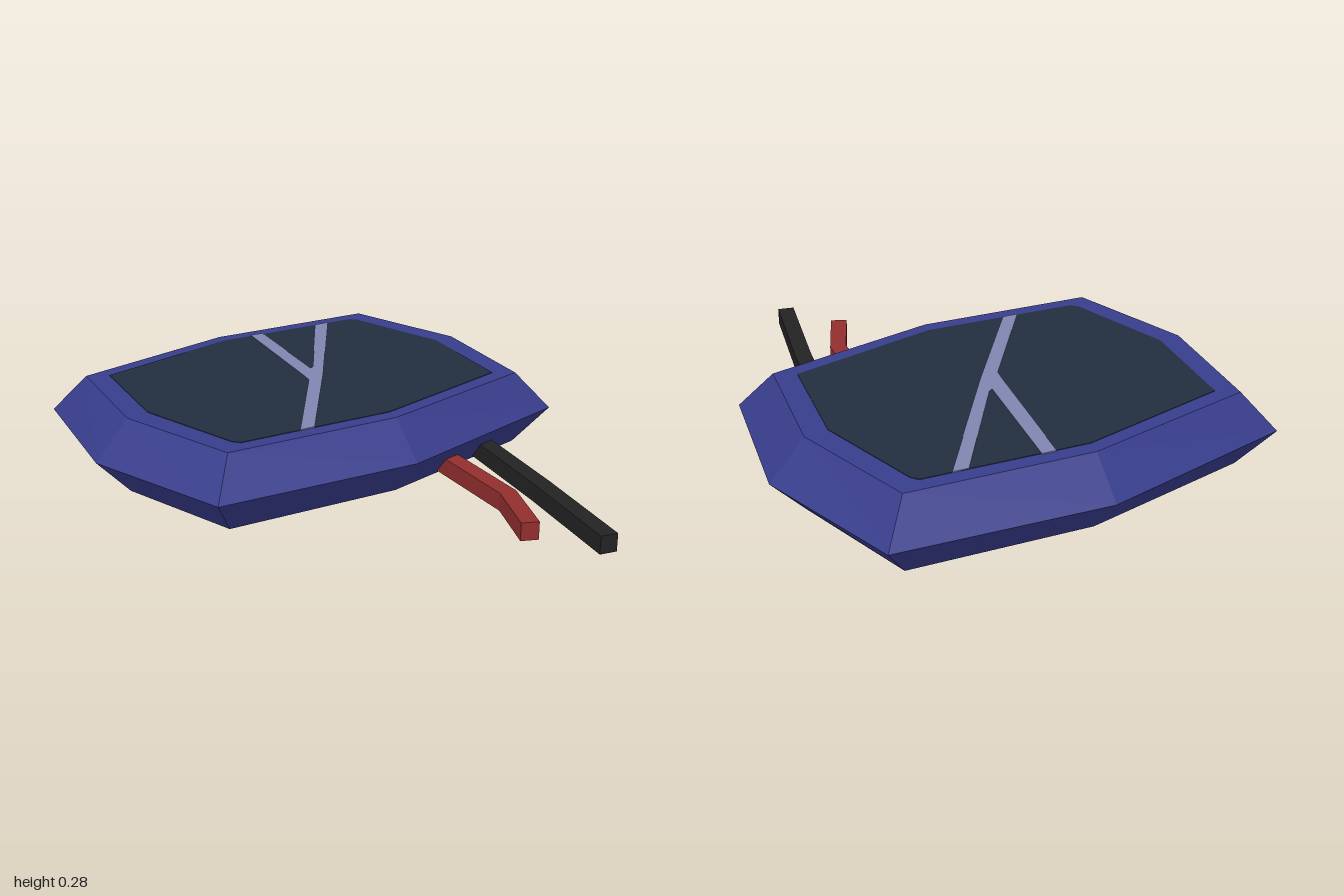
import * as THREE from 'three';

const material = (name, color) => {
  const m = new THREE.MeshStandardMaterial({ color });
  m.name = name;
  return m;
};

// Half outlines; the other half is the same turned by 180 degrees about CENTRE_Z
const CENTRE_Z = -0.275;
const fullRing = half => [...half, ...half.map(([x, z]) => [-x, 2 * CENTRE_Z - z])];
const RIM = fullRing([[-0.857, -0.62], [-0.17, -0.92], [0.57, -1.0], [0.84, -0.5]]);
const FACE = fullRing([[-0.74, -0.56], [-0.14, -0.81], [0.497, -0.89], [0.715, -0.465]]);
const SCREEN = fullRing([[-0.66, -0.53], [-0.14, -0.755], [0.43, -0.826], [0.455, -0.805], [0.635, -0.44]]);

const CRACK = [
  [-0.21, 0.25], [0.0, -0.2], [0.0, -0.25], [-0.02, -0.775], [0.03, -0.781], [0.053, -0.315],
  [0.068, -0.33], [0.27, -0.806], [0.325, -0.813], [0.07, -0.235], [-0.155, 0.242],
];

// Closed faceted solid from stacked horizontal rings, bottom to top
function loft(rings) {
  const pos = [];
  const n = rings[0].pts.length;
  const at = (r, i) => [r.pts[i % n][0], r.y, r.pts[i % n][1]];
  for (let k = 0; k < rings.length - 1; k++) {
    const lo = rings[k], hi = rings[k + 1];
    for (let i = 0; i < n; i++) {
      const a = at(lo, i), b = at(lo, i + 1), c = at(hi, i + 1), d = at(hi, i);
      pos.push(...a, ...c, ...b, ...a, ...d, ...c);
    }
  }
  const bottom = rings[0], top = rings[rings.length - 1];
  for (let i = 1; i < n - 1; i++) {
    pos.push(...at(bottom, 0), ...at(bottom, i), ...at(bottom, i + 1));
    pos.push(...at(top, 0), ...at(top, i + 1), ...at(top, i));
  }
  const g = new THREE.BufferGeometry();
  g.setAttribute('position', new THREE.Float32BufferAttribute(pos, 3));
  g.computeVertexNormals();
  return g;
}

// Thin horizontal plate with its underside at y
function plate(pts, y, thickness) {
  const shape = new THREE.Shape(pts.map(([x, z]) => new THREE.Vector2(x, -z)));
  const g = new THREE.ExtrudeGeometry(shape, { depth: thickness, bevelEnabled: false });
  return g.rotateX(-Math.PI / 2).translate(0, y, 0);
}

// Flat ribbon outline around a path, used as the plan of a square cable
function cableOutline(path, width) {
  const left = [], right = [];
  path.forEach(([x, z], i) => {
    const p = path[Math.max(i - 1, 0)], q = path[Math.min(i + 1, path.length - 1)];
    const len = Math.hypot(q[0] - p[0], q[1] - p[1]);
    const nx = (q[1] - p[1]) / len * width / 2, nz = -(q[0] - p[0]) / len * width / 2;
    left.push([x + nx, z + nz]);
    right.unshift([x - nx, z - nz]);
  });
  return [...left, ...right];
}

export function createModel() {
  const group = new THREE.Group();
  group.name = 'brokenScreen';
  const blue = material('casing blue', 0x383d8c);
  const dark = material('screen slate', 0x222d3f);
  const pale = material('crack lavender', 0x7f85b0);
  const red = material('wire red', 0x922e2e);
  const black = material('wire black', 0x232323);

  const add = (name, geometry, mat) => {
    const mesh = new THREE.Mesh(geometry, mat);
    mesh.name = name;
    group.add(mesh);
  };

  // Casing with bevelled rim
  add('casing', loft([{ pts: FACE, y: 0 }, { pts: RIM, y: 0.138 }, { pts: FACE, y: 0.272 }]), blue);

  // Screen and its forked crack
  add('screen', plate(SCREEN, 0.27, 0.004), dark);
  add('crack', plate(CRACK, 0.271, 0.005), pale);

  // Loose wires coming out of the front
  add('redWire', plate(cableOutline([[0.366, 0.17], [0.41, 0.575], [0.36, 0.815]], 0.062), 0.013, 0.064), red);
  add('blackWire', plate(cableOutline([[0.548, 0.05], [0.553, 0.55], [0.545, 0.99]], 0.062), 0.013, 0.064), black);

  return group;
}
